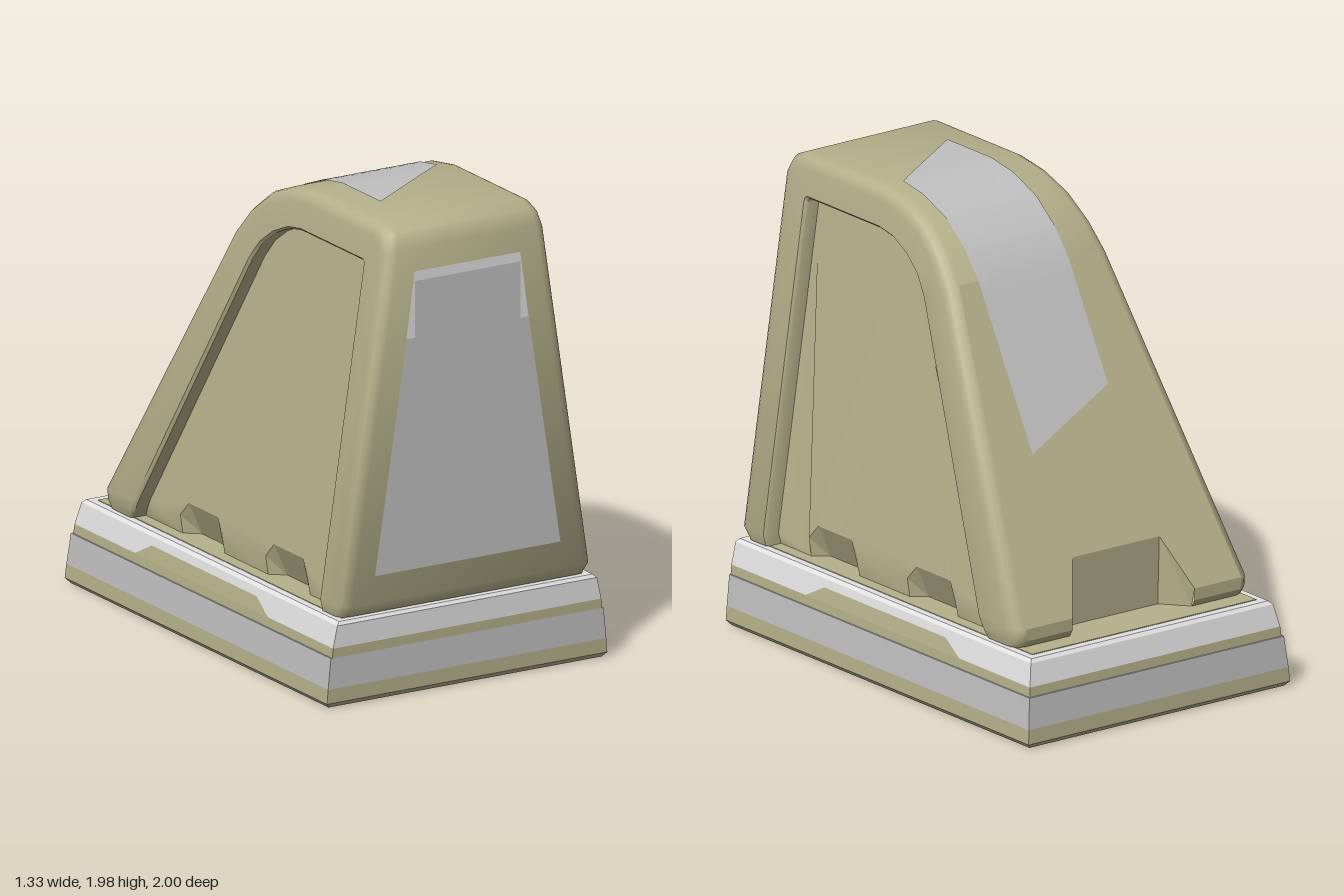
import * as THREE from 'three';
import { toCreasedNormals } from 'three/addons/utils/BufferGeometryUtils.js';

const flat = (name, color) => {
  const m = new THREE.MeshStandardMaterial({ color, side: THREE.DoubleSide });
  m.name = name;
  return m;
};

// Side profile as [z, y]: outer skin and inner edge of the raised rim, front bottom to back bottom
const OUTER = [[.97, .36], [1, .41], [1, 1.88], [.97, 1.94], [.9, 1.97], [.37, 1.97], [.22, 1.945],
  [.07, 1.885], [-.05, 1.79], [-.14, 1.68], [-.83, .44], [-.83, .39], [-.81, .36]];
const INNER = [[.83, .36], [.83, .41], [.83, 1.78], [.828, 1.792], [.82, 1.8], [.35, 1.8], [.26, 1.785],
  [.16, 1.74], [.08, 1.68], [.02, 1.6], [-.57, .44], [-.6, .39], [-.62, .36]];
const SLOPE = 9; // first profile index of the straight rear slope
const RECESS = 0.07;
const EDGE = 0.05;

// Half width of the housing at a height
const width = y => (y < .42 ? .6 - (.42 - y) * .25 : .6 - (y - .42) * .153);
const panelX = y => width(y) - RECESS;

// Height of the outer skin above a z position
function skinY(z) {
  for (let i = 4; i < 10; i++) {
    const [z0, y0] = OUTER[i], [z1, y1] = OUTER[i + 1];
    if (z <= z0 && z >= z1) return y0 + (y1 - y0) * (z0 - z) / (z0 - z1);
  }
  return 1.97;
}
const slopeZ = y => -.14 - .69 * (1.68 - y) / 1.24;

// Separate quads, each given as four corners
function quads(list) {
  const pos = [];
  for (const q of list) for (const k of [0, 1, 2, 0, 2, 3]) pos.push(...q[k]);
  const g = new THREE.BufferGeometry();
  g.setAttribute('position', new THREE.Float32BufferAttribute(pos, 3));
  g.computeVertexNormals();
  return g;
}

// Flat outline whose points are then placed in space by a rule
function plate(points, place) {
  const g = new THREE.ShapeGeometry(new THREE.Shape(points.map(p => new THREE.Vector2(...p))));
  const p = g.attributes.position;
  for (let i = 0; i < p.count; i++) p.setXYZ(i, ...place(p.getX(i), p.getY(i)));
  g.computeVertexNormals();
  return g;
}

// Rounded rim lofted across the profile, leaving the rear slope open
function rimGeometry() {
  const half = [[0, EDGE], [.03, .032], [.1, .013], [.2, .003], [.32, 0], [.94, 0], [1, .012], [1, RECESS]];
  const ring = i => {
    const [z0, y0] = OUTER[i], [z1, y1] = INNER[i];
    const right = half.map(([t, drop]) => {
      const y = y0 + (y1 - y0) * t;
      return [width(y) - drop, y, z0 + (z1 - z0) * t];
    });
    return [...right.map(([x, y, z]) => [-x, y, z]).reverse(), ...right];
  };
  const list = [];
  for (let i = 0; i < OUTER.length - 1; i++) {
    const a = ring(i), b = ring(i + 1);
    for (let j = 0; j < a.length - 1; j++) {
      if (j === half.length - 1 && i >= SLOPE) continue;
      list.push([a[j], a[j + 1], b[j + 1], b[j]]);
    }
  }
  return toCreasedNormals(quads(list), 0.75);
}

// Box with separate top and bottom half widths; the front stays upright
function layer(y0, y1, w0, w1, front0 = 1, front1 = 1) {
  const g = new THREE.BoxGeometry(2, 1, 2).toNonIndexed();
  const p = g.attributes.position;
  for (let i = 0; i < p.count; i++) {
    const up = p.getY(i) > 0, w = up ? w1 : w0;
    const z = p.getZ(i) > 0 ? (up ? front1 : front0) : -1 + (.665 - w);
    p.setXYZ(i, p.getX(i) * w, up ? y1 : y0, z);
  }
  g.computeVertexNormals();
  return g;
}

export function createModel() {
  const olive = flat('olive', 0xb5b08a);
  const grey = flat('grey', 0xc0c0c0);
  const light = flat('lightGrey', 0xe2e2e2);
  const model = new THREE.Group();
  const add = (name, geometry, material) => {
    const mesh = new THREE.Mesh(geometry, material);
    mesh.name = name;
    model.add(mesh);
  };

  // Stepped plinth
  add('plinthFoot', layer(0, .02, .648, .665, .985, 1), olive);
  add('plinthLower', layer(.02, .08, .665, .66), olive);
  add('plinthBand', layer(.08, .21, .66, .647), grey);
  add('plinthMiddle', layer(.21, .25, .64, .636), olive);
  add('plinthRim', layer(.25, .343, .636, .616), light);
  add('plinthRimBevel', layer(.343, .357, .616, .602, 1, .99), light);
  const deck = new THREE.BoxGeometry(1.14, .006, 1.86);
  deck.translate(0, .357, .03);
  add('plinthDeck', deck, olive);

  // Housing rim
  add('housingRim', rimGeometry(), olive);

  // Rear slope with its notch at the foot
  const top = width(1.68) - EDGE, foot = width(.44) - EDGE;
  add('rearSlope', plate([[-foot, .44], [-.31, .44], [-.22, .65], [.22, .65], [.31, .44], [foot, .44],
    [top, 1.68], [-top, 1.68]].map(([x, y]) => [-x, y]), (x, y) => [-x, y, slopeZ(y)]), olive);
  const nz = slopeZ(.65);
  const notch = [[[.22, .65, nz], [-.22, .65, nz], [-.22, .36, nz + .01], [.22, .36, nz + .01]]];
  for (const s of [1, -1]) {
    const walls = [
      [[.31, .44, -.83], [.22, .65, nz], [.22, .36, nz + .01], [.31, .36, -.81]],
      [[foot, .44, -.83], [.31, .44, -.83], [.31, .39, -.83], [width(.39) - EDGE, .39, -.83]],
      [[width(.39) - EDGE, .39, -.83], [.31, .39, -.83], [.31, .36, -.81], [width(.36) - EDGE, .36, -.81]],
    ];
    for (const q of walls) {
      const m = q.map(([x, y, z]) => [s * x, y, z]);
      notch.push(s > 0 ? m : m.reverse());
    }
  }
  add('rearNotch', quads(notch), olive);

  // Recessed side panels with two tucked-in notches each
  const notches = [[-.34, -.02], [.31, .63]];
  const outline = [...INNER];
  for (const [a, b] of notches) outline.push([a, .36], [a, .44], [a + .05, .5], [b - .05, .5], [b, .44], [b, .36]);
  for (const s of [1, -1]) {
    const side = s > 0 ? 'left' : 'right';
    const path = outline.map(([z, y]) => [-s * z, y]);
    add(side + 'Panel', plate(path, (u, y) => [s * panelX(y), y, -s * u]), olive);
    const tucks = [];
    for (const [a, b] of notches) {
      const at = (y, z, d) => [s * (panelX(y) - d), y, z];
      const m = [
        [at(.5, b - .05, 0), at(.5, a + .05, 0), at(.36, a + .05, .06), at(.36, b - .05, .06)],
        [at(.5, a + .05, 0), at(.44, a, 0), at(.36, a, 0), at(.36, a + .05, .06)],
        [at(.44, b, 0), at(.5, b - .05, 0), at(.36, b - .05, .06), at(.36, b, 0)],
      ];
      tucks.push(...(s > 0 ? m.map(q => [...q].reverse()) : m));
    }
    for (const q of tucks) q.reverse();
    add(side + 'PanelNotches', quads(tucks), olive);

    // Raised-colour trapezoid on the plinth rim
    add(side + 'RimInlay', plate([[-.51, .25], [.51, .25], [.4, .31], [-.4, .31]],
      (u, y) => [s * (.639 - (y - .25) * .215), y, -s * u]), olive);
  }

  // Front window over its light corner trim
  add('windowTrim', plate([[-.29, 1.5], [.29, 1.5], [.25, 1.78], [-.25, 1.78]], (x, y) => [x, y, 1.002]), light);
  add('frontWindow', plate([[-.44, .525], [.44, .525], [.29, 1.5], [.25, 1.5], [.25, 1.74], [-.25, 1.74],
    [-.25, 1.5], [-.29, 1.5]], (x, y) => [x, y, 1.004]), grey);

  // Slanted stripe following the roof and rear slope
  const stripe = new THREE.PlaneGeometry(1, 1, 8, 48);
  const p = stripe.attributes.position;
  for (let i = 0; i < p.count; i++) {
    const u = p.getX(i) + .5, v = .5 - p.getY(i);
    const front = .66 - .305 * u, back = -.4 - .1 * u;
    const z = back + (front - back) * v;
    p.setXYZ(i, -.2 + .46 * u, skinY(z) + .006, z);
  }
  stripe.computeVertexNormals();
  add('roofStripe', stripe, grey);

  return model;
}
